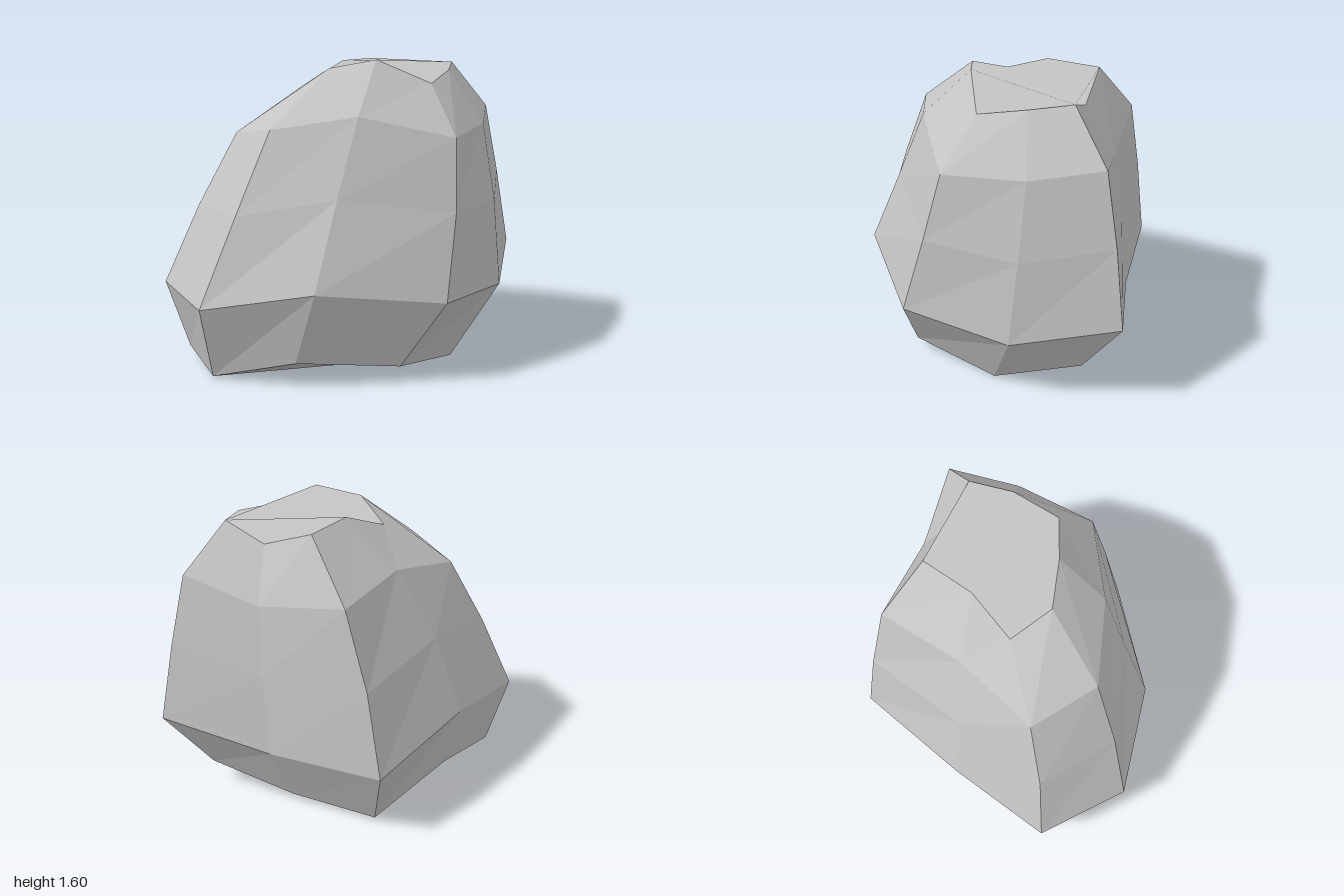
import * as THREE from 'three';

// Cross-sections from base to crown; each runs counter-clockwise seen from above,
// starting at the front corner.
const base = [
  [0, 0.08, 0.65], [0.42, 0, 0.4], [0.73, 0.14, 0.05], [0.37, 0.04, -0.27], [0.02, 0.02, -0.6],
  [-0.48, 0.14, -0.41], [-0.88, 0.05, -0.155], [-0.86, 0.01, 0.24], [-0.52, 0.13, 0.54],
];
const belly = [
  [0.18, 0.43, 0.8], [0.68, 0.39, 0.46], [1, 0.51, 0], [0.52, 0.4, -0.37], [0.08, 0.41, -0.8],
  [-0.52, 0.51, -0.49], [-1, 0.42, -0.17], [-0.95, 0.4, 0.35], [-0.47, 0.51, 0.68],
];
const waist = [
  [0.27, 0.86, 0.71], [0.67, 0.84, 0.4], [0.92, 0.93, 0], [0.53, 0.83, -0.31], [0.12, 0.87, -0.71],
  [-0.39, 0.93, -0.4], [-0.82, 0.83, -0.12], [-0.75, 0.85, 0.33], [-0.31, 0.94, 0.57],
];
const shoulder = [
  [0.31, 1.22, 0.62], [0.63, 1.25, 0.33], [0.83, 1.31, 0.01], [0.52, 1.2, -0.25], [0.19, 1.28, -0.59],
  [-0.2, 1.31, -0.31], [-0.61, 1.21, -0.1], [-0.55, 1.26, 0.28], [-0.16, 1.33, 0.48],
];
const crown = [
  [0.28, 1.475, 0.4], [0.47, 1.53, 0.23], [0.59, 1.56, 0.04], [0.44, 1.47, -0.12], [0.26, 1.57, -0.32],
  [0.02, 1.57, -0.16], [-0.23, 1.46, -0.06], [-0.19, 1.55, 0.17], [0.02, 1.595, 0.29],
];

// Faceted geometry from a list of triangles, one normal per triangle
function facets(triangles) {
  const geometry = new THREE.BufferGeometry();
  geometry.setAttribute('position', new THREE.Float32BufferAttribute(triangles.flat(2), 3));
  geometry.computeVertexNormals();
  return geometry;
}

// Band of facets joining neighbouring cross-sections
function sides(rings) {
  const triangles = [];
  for (let i = 0; i < rings.length - 1; i++) {
    const low = rings[i], high = rings[i + 1];
    for (let j = 0; j < low.length; j++) {
      const k = (j + 1) % low.length;
      triangles.push([low[j], low[k], high[k]], [low[j], high[k], high[j]]);
    }
  }
  return facets(triangles);
}

// Fan closing a cross-section from one of its corners, shaded as a single face
function cap(ring, start, facingUp) {
  const n = ring.length, triangles = [], normal = new THREE.Vector3();
  for (let s = 1; s < n - 1; s++) {
    const a = ring[start], b = ring[(start + s) % n], c = ring[(start + s + 1) % n];
    const corners = facingUp ? [a, b, c] : [a, c, b];
    triangles.push(corners);
    const [p, q, r] = corners.map((v) => new THREE.Vector3(...v));
    normal.add(q.sub(p).cross(r.sub(p)));
  }
  normal.normalize();
  const geometry = facets(triangles);
  const normals = geometry.attributes.normal;
  for (let i = 0; i < normals.count; i++) normals.setXYZ(i, normal.x, normal.y, normal.z);
  return geometry;
}

export function createModel() {
  const stone = new THREE.MeshStandardMaterial({ color: 0xc4c4c4 });
  stone.name = 'grey stone';

  const rock = new THREE.Group();
  rock.name = 'rock';
  const add = (name, geometry) => {
    const mesh = new THREE.Mesh(geometry, stone);
    mesh.name = name;
    rock.add(mesh);
  };

  add('rockSides', sides([base, belly, waist, shoulder, crown]));
  add('rockTop', cap(crown, 2, true));
  add('rockUnderside', cap(base, 1, false));
  return rock;
}
